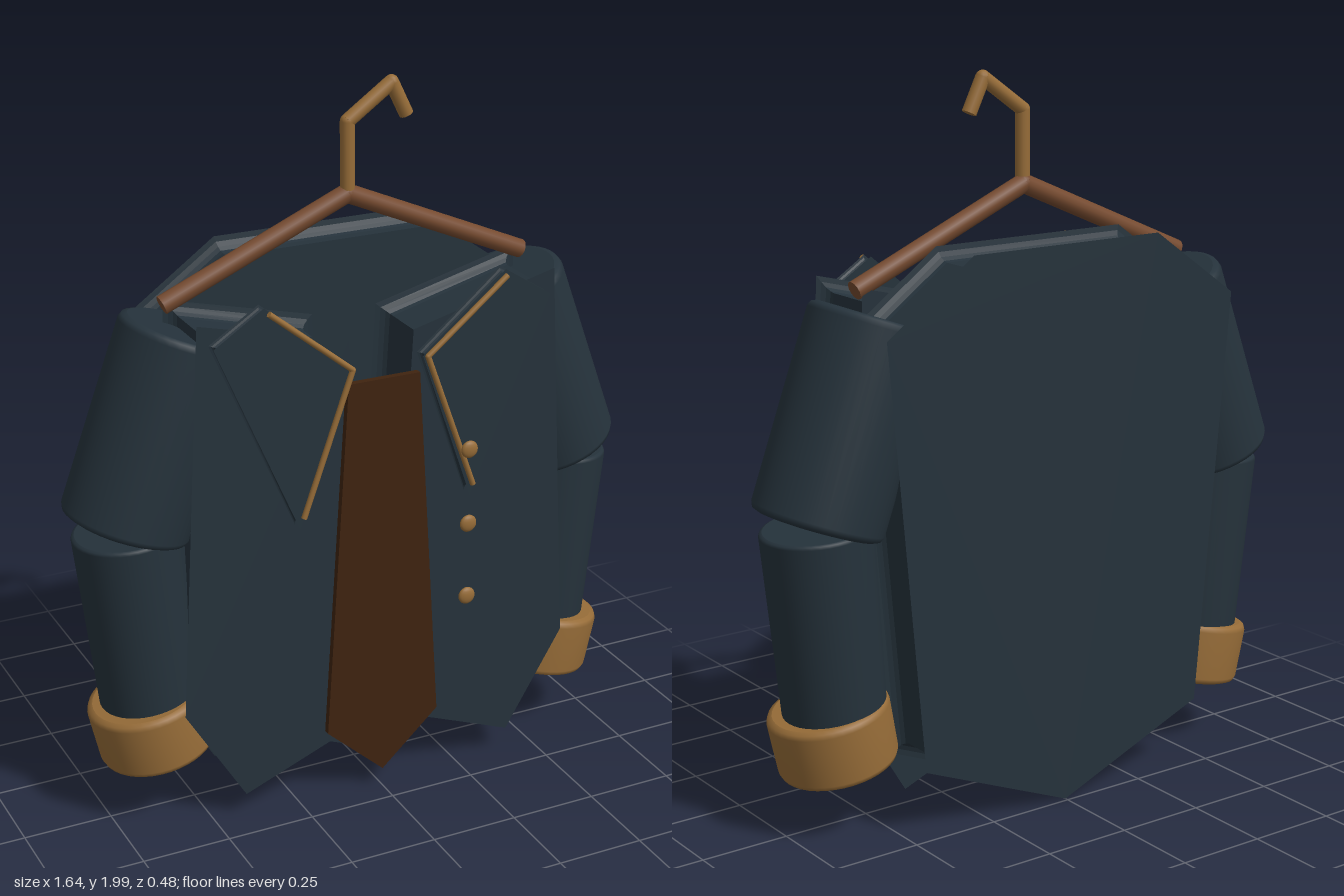
import * as THREE from 'three';

const mat = (name, color) => {
  const m = new THREE.MeshStandardMaterial({ color });
  m.name = name;
  return m;
};

export function createModel() {
  const cloth = mat('navy cloth', 0x25323b);
  const gold = mat('gold trim', 0x966c38);
  const wood = mat('hanger wood', 0x754a2f);
  const tieBrown = mat('tie brown', 0x3f230f);
  const model = new THREE.Group();
  model.name = 'jacketOnHanger';

  const add = (name, geo, material, parent = model) => {
    const mesh = new THREE.Mesh(geo, material);
    mesh.name = name;
    parent.add(mesh);
    return mesh;
  };

  // Slab between z0 and z1 whose edges are scooped inward
  const slab = (name, pts, z0, z1, size, thick, material) => {
    const shape = new THREE.Shape(pts.map(p => new THREE.Vector2(p[0], p[1])));
    const geo = new THREE.ExtrudeGeometry(shape, {
      depth: z1 - z0 - 2 * thick, bevelEnabled: size > 0,
      bevelSize: -size, bevelThickness: thick, bevelSegments: 4,
    });
    geo.translate(0, 0, z0 + thick);
    return add(name, geo, material);
  };

  // Round rod through a list of points, with ball joints
  const rod = (name, pts, r, material) => {
    const group = new THREE.Group();
    group.name = name;
    const v = pts.map(p => new THREE.Vector3(...p));
    for (let i = 0; i + 1 < v.length; i++) {
      const dir = v[i + 1].clone().sub(v[i]);
      const seg = add(name + 'Bar', new THREE.CylinderGeometry(r, r, dir.length(), 12), material, group);
      seg.position.copy(v[i]).addScaledVector(dir, 0.5);
      seg.quaternion.setFromUnitVectors(new THREE.Vector3(0, 1, 0), dir.normalize());
      if (i > 0) add(name + 'Joint', new THREE.SphereGeometry(r, 12, 8), material, group).position.copy(v[i]);
    }
    model.add(group);
  };

  // Closed round sleeve section with softened rims, from top point to bottom point
  const sleeve = (name, top, bottom, rTop, rBottom, b, material) => {
    const a = new THREE.Vector3(...top), c = new THREE.Vector3(...bottom);
    const dir = a.clone().sub(c), h = dir.length() / 2;
    const k = b * 0.3;
    const profile = [
      [0, -h], [rBottom - b, -h], [rBottom - b, -h], [rBottom - k, -h + k], [rBottom, -h + b],
      [rTop, h - b], [rTop - k, h - k], [rTop - b, h], [rTop - b, h], [0, h],
    ].map(p => new THREE.Vector2(p[0], p[1]));
    const mesh = add(name, new THREE.LatheGeometry(profile, 40), material);
    mesh.position.copy(a).add(c).multiplyScalar(0.5);
    mesh.quaternion.setFromUnitVectors(new THREE.Vector3(0, 1, 0), dir.normalize());
  };

  // Back of the jacket
  slab('backPanel', [
    [0, 0.01], [0.46, 0.2], [0.565, 1.37], [0.3, 1.56],
    [-0.3, 1.56], [-0.565, 1.37], [-0.46, 0.2],
  ], -0.24, -0.07, 0.04, 0.03, cloth);

  for (const s of [1, -1]) {
    const side = s > 0 ? 'left' : 'right';
    const flip = pts => pts.map(([x, y, ...z]) => [s * x, y, ...z]);

    // Front panel and pointed collar
    slab(side + 'FrontPanel', flip([
      [0.03, 0.23], [0.41, 0.08], [0.583, 0.365], [0.52, 1.472], [0.095, 1.365],
    ]), -0.06, 0.165, 0.04, 0.03, cloth);
    slab(side + 'Collar', flip([
      [0.255, 0.87], [0.49, 1.415], [0.35, 1.505], [0.105, 1.3],
    ]), 0.166, 0.2, 0.015, 0.015, cloth);
    rod(side + 'CollarPiping', flip([
      [0.345, 1.495, 0.22], [0.11, 1.305, 0.22], [0.253, 0.91, 0.22],
    ]), 0.008, gold);

    // Arm
    sleeve(side + 'UpperSleeve', ...flip([[0.468, 1.39, -0.04], [0.661, 0.864, -0.04]]), 0.178, 0.178, 0.02, cloth);
    sleeve(side + 'LowerSleeve', ...flip([[0.657, 0.86, -0.033], [0.605, 0.3, -0.028]]), 0.15, 0.139, 0.01, cloth);
    sleeve(side + 'Cuff', ...flip([[0.628, 0.362, -0.02], [0.593, 0.19, -0.02]]), 0.166, 0.163, 0.018, gold);

    // Hanger arm
    rod(side + 'HangerArm', flip([[0, 1.695, -0.04], [0.532, 1.465, -0.04]]), 0.026, wood);
  }

  // Hanger top and hook
  add('hangerJoint', new THREE.SphereGeometry(0.026, 16, 10), wood).position.set(0, 1.695, -0.04);
  rod('hangerHook', [
    [0, 1.7, -0.037], [0, 1.89, -0.037], [0.128, 1.98, -0.037], [0.172, 1.89, -0.037],
  ], 0.02, gold);

  // Tie
  slab('tie', [
    [-0.105, 1.25], [-0.17, 0.22], [0, 0.065], [0.17, 0.22], [0.105, 1.25],
  ], 0.167, 0.186, 0, 0, tieBrown);

  // Buttons
  for (const y of [1.02, 0.8, 0.58]) {
    const button = add('button', new THREE.SphereGeometry(0.025, 16, 10), gold);
    button.position.set(0.235, y, 0.23);
    button.scale.z = 0.45;
  }

  return model;
}
